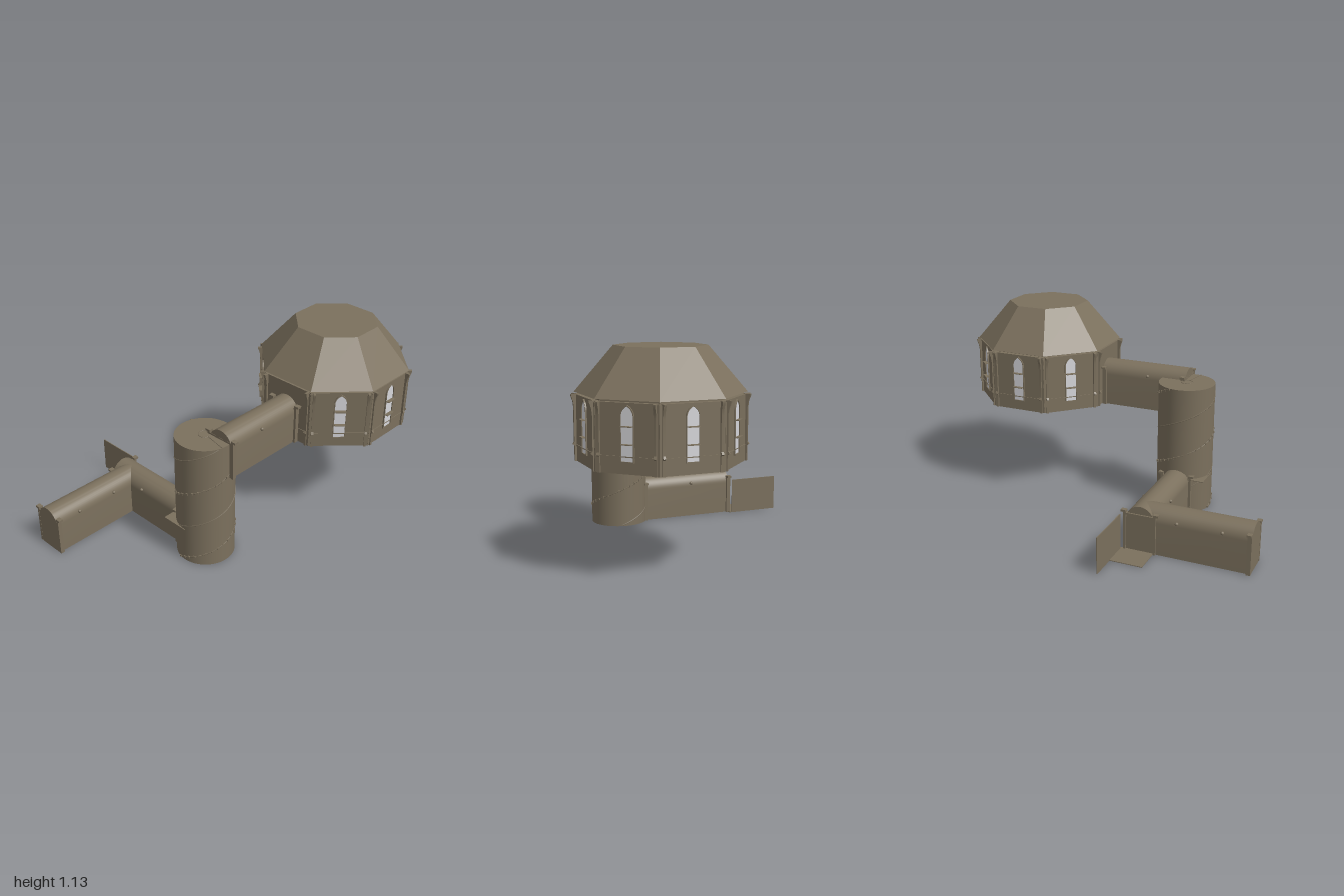
import * as THREE from 'three';
import { toCreasedNormals } from 'three/addons/utils/BufferGeometryUtils.js';

const stone = new THREE.MeshStandardMaterial({ color: 0x7b705d, side: THREE.DoubleSide });
stone.name = 'stone';
const glass = new THREE.MeshStandardMaterial({ color: 0xd6d6da, side: THREE.DoubleSide });
glass.name = 'pale glass';

export function createModel() {
  const root = new THREE.Group();
  root.name = 'hallsAndTower';

  const add = (parent, name, geo, x = 0, y = 0, z = 0, mat = stone) => {
    const m = new THREE.Mesh(geo, mat);
    m.name = name;
    m.position.set(x, y, z);
    parent.add(m);
    return m;
  };
  const box = (parent, name, w, h, d, x, y, z) =>
    add(parent, name, new THREE.BoxGeometry(w, h, d), x, y, z);
  const extrude = (shape, depth) => toCreasedNormals(
    new THREE.ExtrudeGeometry(shape, { depth, bevelEnabled: false, curveSegments: 12 }), 0.5);

  // Vaulted hall cross-section: straight walls with a round top
  const R = 0.079, H = 0.265;
  const hallShape = () => {
    const s = new THREE.Shape();
    s.moveTo(-R, 0);
    s.lineTo(R, 0);
    s.lineTo(R, H - R);
    s.absarc(0, H - R, R, 0, Math.PI, false);
    s.closePath();
    return s;
  };

  // Hall along its local z, with round studs on both shoulders
  const hall = (name, length, studs) => {
    const g = new THREE.Group();
    g.name = name;
    add(g, 'vault', extrude(hallShape(), length));
    for (const z of studs) for (const s of [-1, 1])
      add(g, 'stud', new THREE.SphereGeometry(0.01, 10, 8), s * R, 0.205, z);
    root.add(g);
    return g;
  };

  // Door surround: two posts, capitals and an arch band
  const doorFrame = (parent, z) => {
    const g = new THREE.Group();
    g.name = 'doorFrame';
    for (const s of [-1, 1]) {
      box(g, 'doorPost', 0.014, 0.235, 0.024, s * 0.086, 0.1175, 0);
      box(g, 'doorCapital', 0.03, 0.012, 0.026, s * 0.092, 0.229, 0);
    }
    box(g, 'lintel', 0.16, 0.01, 0.022, 0, 0.215, 0);
    g.position.z = z;
    parent.add(g);
  };

  const entrance = hall('entranceHall', 0.62, [0.21, 0.46]);
  entrance.position.set(-0.38, 0, 0.368);
  doorFrame(entrance, 0.609);

  const cross = hall('crossHall', 0.64, [0.255]);
  cross.rotation.y = Math.PI / 2;
  cross.position.set(-0.46, 0, 0.37);
  doorFrame(cross, 0.002);
  doorFrame(cross, 0.562);

  const upper = hall('upperHall', 0.6, [0.365]);
  upper.position.set(0.343, 0.545, -0.25);
  doorFrame(upper, 0.09);
  doorFrame(upper, 0.59);

  // Side doorway: floor landing and open door leaf
  box(root, 'landing', 0.16, 0.004, 0.19, -0.54, 0.002, 0.355);
  box(root, 'doorLeaf', 0.3, 0.21, 0.005, -0.625, 0.105, 0.262);

  // Round stair tower
  const tower = new THREE.Group();
  tower.name = 'stairTower';
  tower.position.set(0.245, 0, 0.37);
  root.add(tower);
  const TR = 0.164, TH = 0.755;
  add(tower, 'towerBody',
    toCreasedNormals(new THREE.CylinderGeometry(TR, TR, TH, 48), 0.5), 0, TH / 2, 0);
  box(tower, 'towerLedge', 0.16, 0.004, 0.16, -0.075, 0.212, 0.088);
  const ring = add(tower, 'newelRing', new THREE.TorusGeometry(0.033, 0.003, 6, 24), 0, TH, 0);
  ring.rotation.x = Math.PI / 2;
  box(tower, 'topStep', 0.13, 0.006, 0.005, 0.098, TH, 0.018).rotation.y = -0.2;

  // Two rising bands wind round the tower, one of them beaded
  const pitch = 0.43;
  for (const k of [0, 1]) {
    const pts = [];
    for (let y = 0.006; y <= TH; y += 0.006) {
      const a = 1.5 * Math.PI + (y - 0.02 - k * pitch / 2) / pitch * 2 * Math.PI;
      pts.push(new THREE.Vector3(Math.cos(a) * TR, y, -Math.sin(a) * TR));
    }
    const curve = new THREE.CatmullRomCurve3(pts);
    add(tower, 'spiralBand', new THREE.TubeGeometry(curve, 200, 0.003, 5));
    if (k === 0) for (const p of curve.getSpacedPoints(54))
      add(tower, 'bead', new THREE.BoxGeometry(0.011, 0.011, 0.011), p.x, p.y, p.z)
        .rotation.y = Math.atan2(p.x, p.z);
  }

  // Octagonal chamber
  const chamber = new THREE.Group();
  chamber.name = 'octagonChamber';
  chamber.position.set(0.345, 0, -0.575);
  root.add(chamber);
  const octagon = (name, top, bottom, y0, y1) => {
    const k = 1 / Math.cos(Math.PI / 8);
    const g = new THREE.CylinderGeometry(top * k, bottom * k, y1 - y0, 8, 1, false, Math.PI / 8);
    add(chamber, name, toCreasedNormals(g, 0.3), 0, (y0 + y1) / 2, 0);
  };
  const A = 0.4;
  octagon('walls', A, A, 0.547, 0.885);
  octagon('eavesGap', 0.375, 0.375, 0.88, 0.9);
  octagon('roof', 0.22, 0.404, 0.896, 1.13);

  // Pointed window outline
  const lancet = (Type, w, y0, spring, y1) => {
    const s = new Type();
    s.moveTo(-w, y0);
    s.lineTo(w, y0);
    s.lineTo(w, spring);
    s.quadraticCurveTo(w * 0.9, (spring + y1) / 2 + 0.008, 0, y1);
    s.quadraticCurveTo(-w * 0.9, (spring + y1) / 2 + 0.008, -w, spring);
    s.closePath();
    return s;
  };
  const windowFrame = lancet(THREE.Shape, 0.036, 0.602, 0.825, 0.876);
  windowFrame.holes.push(lancet(THREE.Path, 0.031, 0.608, 0.825, 0.869));

  // Pilaster side profile (outward, up): plinth, shaft and flared capital
  const pilaster = new THREE.Shape([
    [-0.01, 0.547], [0.01, 0.547], [0.01, 0.625], [0.02, 0.632], [0.012, 0.645],
    [0.012, 0.82], [0.016, 0.85], [0.026, 0.878], [0.026, 0.886], [-0.01, 0.886],
  ].map(([x, y]) => new THREE.Vector2(x, y)));

  for (let i = 0; i < 8; i++) {
    const side = new THREE.Group();
    side.name = 'chamberSide';
    side.rotation.y = i * Math.PI / 4;
    chamber.add(side);
    for (const s of [-1, 1]) {
      const p = add(side, 'pilaster', extrude(pilaster, 0.013), s * 0.148 - 0.0065, 0, A);
      p.rotation.y = -Math.PI / 2;
      p.position.x += 0.013;
      box(side, 'cornerRib', 0.014, 0.33, 0.008, s * 0.161, 0.715, A);
    }
    box(side, 'plinthBand', 0.3, 0.005, 0.008, 0, 0.63, A);
    if (i === 0) continue; // the upper hall joins here
    add(side, 'windowPane', new THREE.ShapeGeometry(
      lancet(THREE.Shape, 0.032, 0.607, 0.825, 0.87)), 0, 0, A + 0.003, glass);
    add(side, 'windowFrame', extrude(windowFrame, 0.008), 0, 0, A);
    for (const y of [0.69, 0.775])
      box(side, 'windowBar', 0.06, 0.004, 0.024, 0, y, A + 0.012);
  }
  return root;
}
